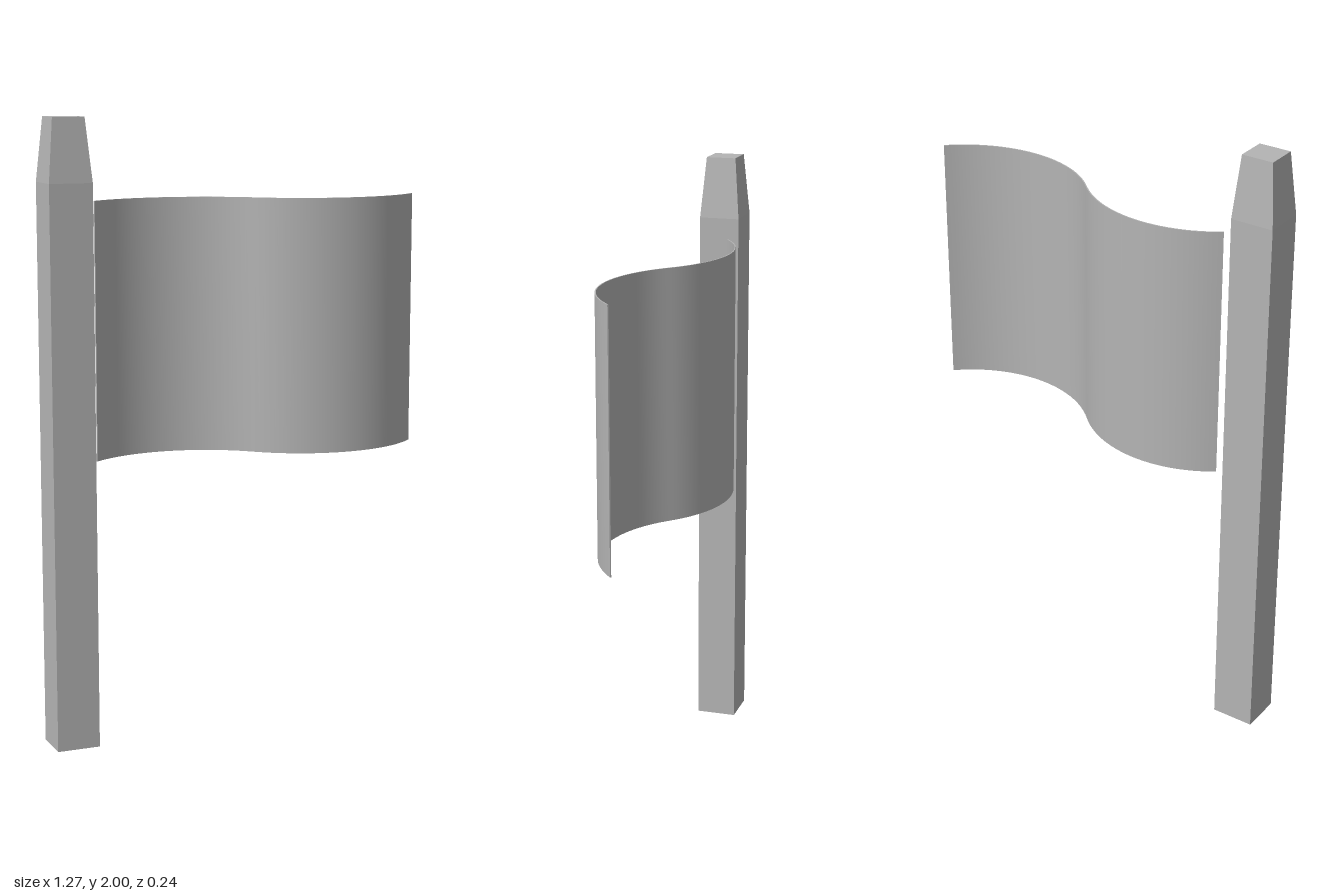
import * as THREE from 'three';
import { toCreasedNormals } from 'three/addons/utils/BufferGeometryUtils.js';

const grey = new THREE.MeshStandardMaterial({ color: 0xb4b4b4 });
grey.name = 'plain grey';

// Square post whose last stretch tapers to a smaller flat top
function createPost() {
  const height = 2, shoulder = 1.8, taper = 0.74;
  const box = new THREE.BoxGeometry(0.14, height, 0.134, 1, 2, 1);
  box.translate(0, height / 2, 0);
  const p = box.attributes.position;
  for (let i = 0; i < p.count; i++) {
    const y = p.getY(i);
    if (y > height - 0.01) p.setXYZ(i, p.getX(i) * taper, y, p.getZ(i) * taper);
    else if (y > 0.01) p.setY(i, shoulder);
  }
  const geometry = box.toNonIndexed();
  geometry.computeVertexNormals();
  const post = new THREE.Mesh(geometry, grey);
  post.name = 'post';
  post.position.x = -0.567;
  return post;
}

// One long edge of the wave: two tangent arcs, shifted sideways by offset
function waveEdge(offset) {
  const radius = 0.403, steps = 24, points = [];
  const arc = (cx, cz, r, from, to, first) => {
    for (let i = first; i <= steps; i++) {
      const a = THREE.MathUtils.degToRad(from + ((to - from) * i) / steps);
      points.push(new THREE.Vector2(cx + r * Math.cos(a), cz + r * Math.sin(a)));
    }
  };
  arc(-0.22, 0.285, radius + offset, -126.2, -45, 0);
  arc(0.35, -0.285, radius - offset, 135, 46, 1);
  return points;
}

// Thin waving cloth, its outline swept straight down
function createFlag() {
  const top = 1.738, drop = 0.827, half = 0.002;
  const outline = new THREE.Shape([...waveEdge(half), ...waveEdge(-half).reverse()]);
  const extruded = new THREE.ExtrudeGeometry(outline, { depth: drop, bevelEnabled: false });
  extruded.rotateX(Math.PI / 2);
  extruded.translate(0, top, 0);
  const flag = new THREE.Mesh(toCreasedNormals(extruded, 0.6), grey);
  flag.name = 'flag';
  return flag;
}

export function createModel() {
  const model = new THREE.Group();
  model.name = 'flag on post';
  model.add(createPost(), createFlag());
  return model;
}
